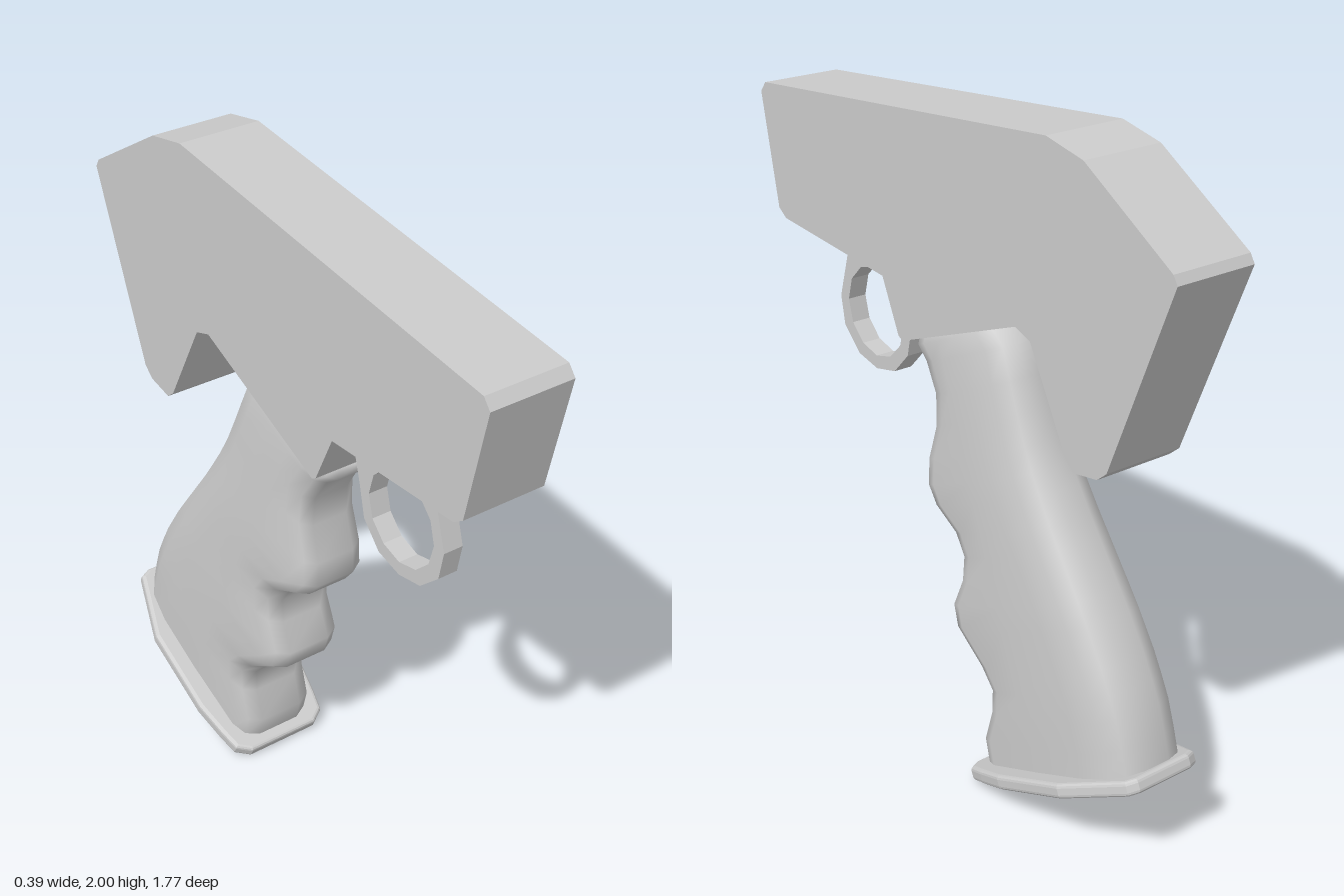
import * as THREE from 'three';

const material = new THREE.MeshStandardMaterial({ color: 0xcccccc, side: THREE.DoubleSide });

function add(parent, name, geometry) {
  const mesh = new THREE.Mesh(geometry, material);
  mesh.name = name;
  parent.add(mesh);
}

const toShape = (pts) => new THREE.Shape(pts.map(([a, b]) => new THREE.Vector2(a, b)));

// Side profile in (z, y), extruded symmetrically across x
function sideExtrude(shape, width) {
  const g = new THREE.ExtrudeGeometry(shape, { depth: width, bevelEnabled: false });
  g.translate(0, 0, -width / 2);
  return g.rotateY(-Math.PI / 2);
}

// Grip levels from the base up: [height, front, back, half width]
const levels = [
  [-0.03, 0.169, 0.83, 0.14],
  [0.056, 0.183, 0.842, 0.14],
  [0.14, 0.253, 0.85, 0.14],
  [0.208, 0.284, 0.848, 0.139],
  [0.279, 0.26, 0.843, 0.138],
  [0.399, 0.187, 0.825, 0.136],
  [0.466, 0.195, 0.812, 0.134],
  [0.537, 0.27, 0.797, 0.132],
  [0.608, 0.307, 0.782, 0.13],
  [0.679, 0.295, 0.767, 0.128],
  [0.763, 0.228, 0.753, 0.125],
  [0.825, 0.212, 0.744, 0.122],
  [0.9, 0.245, 0.737, 0.118],
  [0.99, 0.319, 0.736, 0.113],
  [1.08, 0.352, 0.737, 0.108],
  [1.174, 0.339, 0.738, 0.101],
  [1.225, 0.31, 0.705, 0.094],
  [1.255, 0.325, 0.68, 0.085],
];

// Loft of rounded cross-sections whose fronts follow the finger grooves
function gripGeometry() {
  const positions = [];
  const index = [];
  let n = 0;
  for (const [v, front, back, w] of levels) {
    const half = [
      [0.5 * w, front],
      [0.8 * w, front + 0.022],
      [0.94 * w, front + 0.07],
      [w, 0.47],
      [w, back - 0.17],
      [0.9 * w, back - 0.075],
      [0.68 * w, back - 0.022],
      [0.3 * w, back],
    ];
    const ring = [...half, ...half.map(([x, u]) => [-x, u]).reverse()];
    n = ring.length;
    for (const [x, u] of ring) positions.push(x, v, -u);
  }
  for (let i = 0; i < levels.length - 1; i++) {
    for (let j = 0; j < n; j++) {
      const a = i * n + j;
      const b = i * n + ((j + 1) % n);
      index.push(a, b, b + n, a, b + n, a + n);
    }
  }
  const top = (levels.length - 1) * n;
  for (let j = 1; j < n - 1; j++) index.push(top, top + j, top + j + 1);
  const g = new THREE.BufferGeometry();
  g.setAttribute('position', new THREE.Float32BufferAttribute(positions, 3));
  g.setIndex(index);
  g.computeVertexNormals();
  return g;
}

export function createModel() {
  const model = new THREE.Group();
  model.name = 'pistolGrip';

  // Slab-sided housing
  const housing = toShape([
    [0.89, 1.85], [0.865, 1.88], [-0.41, 2.0], [-0.55, 1.97], [-0.87, 1.775],
    [-0.885, 1.75], [-0.665, 1.19], [-0.63, 1.16], [-0.54, 1.145], [-0.51, 1.17],
    [-0.36, 1.45], [-0.3, 1.472], [0.2, 1.275], [0.218, 1.285], [0.29, 1.443],
    [0.785, 1.485], [0.82, 1.51],
  ]);
  add(model, 'housing', sideExtrude(housing, 0.25));

  // Finger ring under the housing
  const ring = toShape([
    [0.58, 1.48], [0.645, 1.26], [0.628, 1.17], [0.555, 1.1], [0.465, 1.08],
    [0.375, 1.1], [0.308, 1.17], [0.285, 1.27], [0.26, 1.36], [0.28, 1.46],
  ]);
  const hole = new THREE.Path();
  const sides = 12;
  for (let i = 0; i < sides; i++) {
    const a = (-i * 2 * Math.PI) / sides;
    const p = [0.465 + 0.139 * Math.cos(a), 1.26 + 0.139 * Math.sin(a)];
    if (i === 0) hole.moveTo(...p);
    else hole.lineTo(...p);
  }
  hole.closePath();
  ring.holes.push(hole);
  add(model, 'triggerGuard', sideExtrude(ring, 0.06));

  // Handle assembly, tilted so its levels are parallel to the base
  const handle = new THREE.Group();
  handle.name = 'handle';
  handle.rotation.x = 0.417;
  model.add(handle);
  add(handle, 'grip', gripGeometry());

  // Flared base plate with a rounded rim
  const side = [
    [0.115, 0.144], [0.152, 0.17], [0.165, 0.23], [0.183, 0.34],
    [0.183, 0.62], [0.115, 0.83], [0.09, 0.842],
  ];
  const outline = [...side, ...side.map(([x, u]) => [-x, u]).reverse()];
  const plate = new THREE.ExtrudeGeometry(toShape(outline), {
    depth: 0.02, bevelThickness: 0.012, bevelSize: 0.012, bevelSegments: 3,
  });
  plate.rotateX(-Math.PI / 2);
  plate.translate(0, -0.05, 0);
  add(handle, 'basePlate', plate);

  return model;
}
